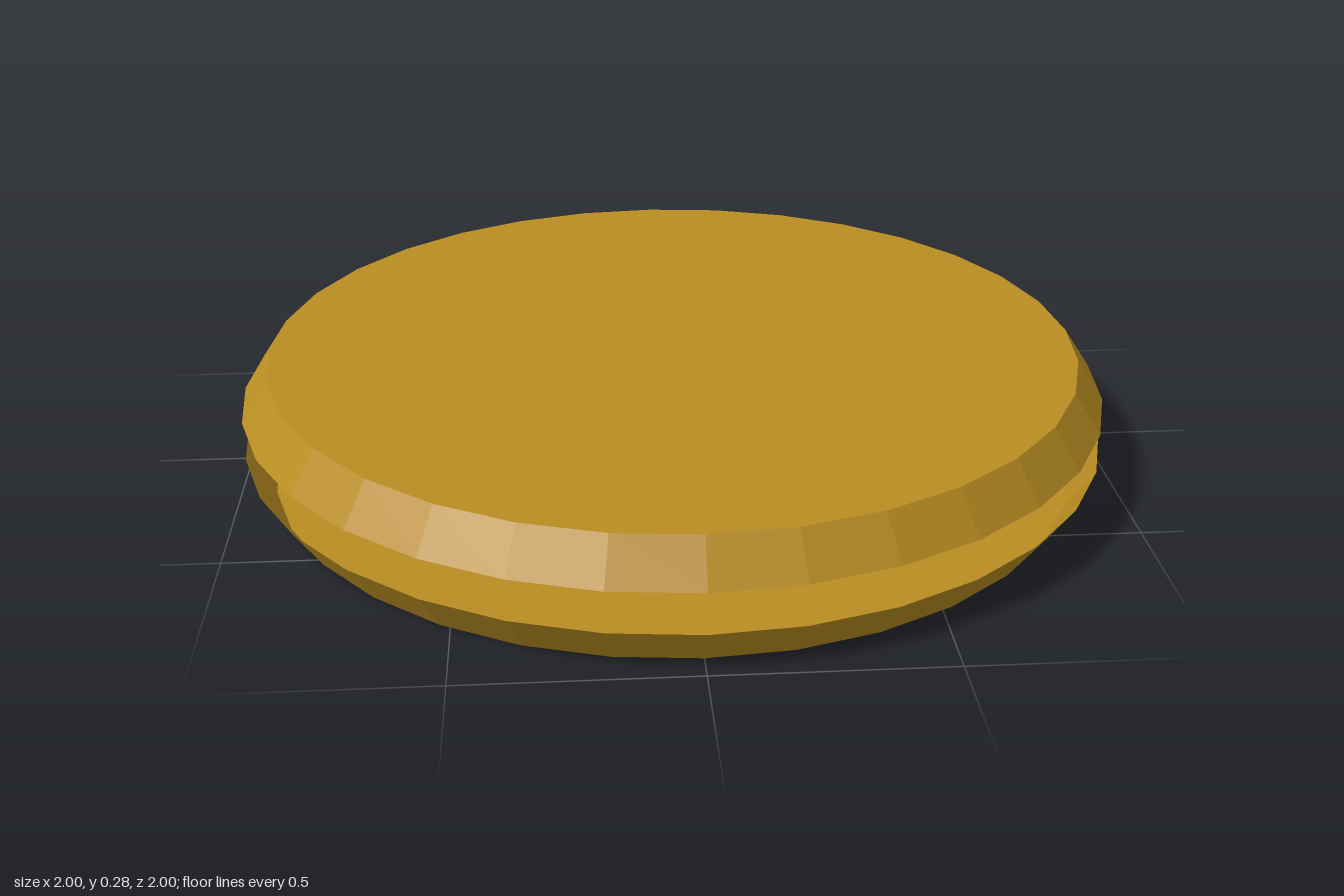
import * as THREE from 'three';

const SIDES = 32;
const RIM_RADIUS = 1;
const FACE_RADIUS = 0.938;
const HEIGHT = 0.276;
const LIP = 0.092; // height of each bevelled lip

export function createModel() {
  const group = new THREE.Group();
  group.name = 'bevelledDisc';
  const material = new THREE.MeshStandardMaterial({
    color: 0xb98d22,
    flatShading: true,
    side: THREE.DoubleSide,
  });

  // Open shallow shell: flat face plus a flaring lip
  const shell = (name, faceY, rimY) => {
    const profile = [
      new THREE.Vector2(0, faceY),
      new THREE.Vector2(FACE_RADIUS, faceY),
      new THREE.Vector2(RIM_RADIUS, rimY),
    ];
    if (rimY < faceY) profile.reverse(); // keep faces outward
    const mesh = new THREE.Mesh(new THREE.LatheGeometry(profile, SIDES), material);
    mesh.name = name;
    group.add(mesh);
  };

  // Two facing shells with an open gap between their rims
  shell('lowerShell', 0, LIP);
  shell('upperShell', HEIGHT, HEIGHT - LIP);

  return group;
}
